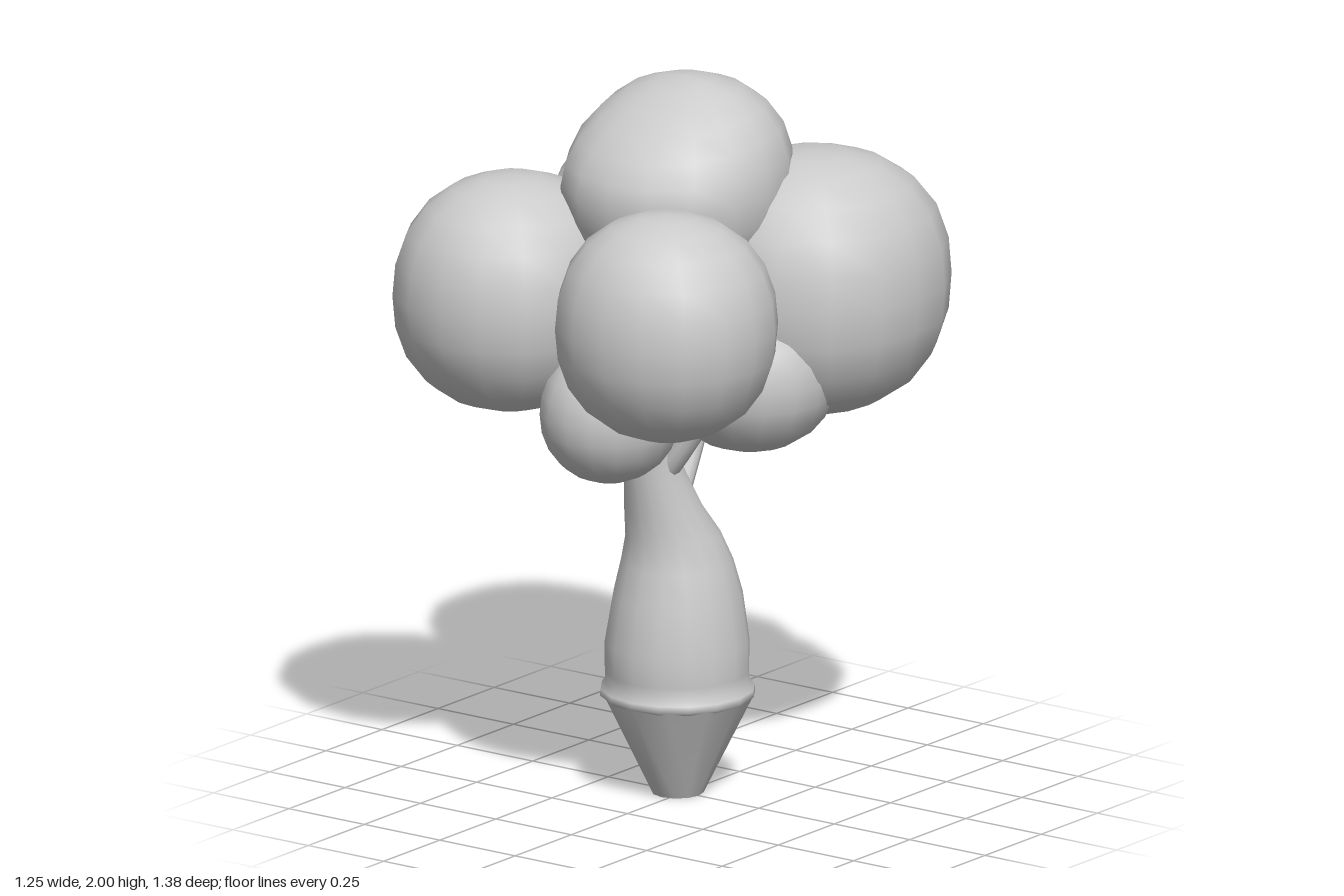
import * as THREE from 'three';
import { mergeVertices, toCreasedNormals } from 'three/addons/utils/BufferGeometryUtils.js';

const material = new THREE.MeshStandardMaterial({ color: 0xcccccc });

function addMesh(parent, name, geometry) {
  const mesh = new THREE.Mesh(geometry, material);
  mesh.name = name;
  parent.add(mesh);
  return mesh;
}

// Weld seams and rebuild smooth normals
function smooth(geometry) {
  geometry.deleteAttribute('uv');
  geometry.deleteAttribute('normal');
  const welded = mergeVertices(geometry, 1e-4);
  welded.computeVertexNormals();
  return welded;
}

// Low-poly foliage clump: a slightly squared ball (power 2 is round).
// slope lowers the upper front, lean shifts the upper part back.
function clumpGeometry(radii, power, slope, lean) {
  const geometry = new THREE.SphereGeometry(1, 16, 12);
  const p = geometry.attributes.position;
  const v = new THREE.Vector3();
  for (let i = 0; i < p.count; i++) {
    v.fromBufferAttribute(p, i);
    const sum = Math.abs(v.x) ** power + Math.abs(v.y) ** power + Math.abs(v.z) ** power;
    v.multiplyScalar(sum ** (-1 / power));
    if (v.y > 0) {
      v.y *= 1 - slope * Math.max(0, v.z);
      v.z -= lean * v.y;
    }
    v.multiply(radii);
    p.setXYZ(i, v.x, v.y, v.z);
  }
  return smooth(geometry);
}

export function createModel() {
  const tree = new THREE.Group();
  tree.name = 'tree';

  // Tapered base with a flat underside
  const base = new THREE.LatheGeometry(
    [[0, 0], [0.07, 0], [0.205, 0.275], [0, 0.275]].map(([r, y]) => new THREE.Vector2(r, y)), 12);
  addMesh(tree, 'base', toCreasedNormals(base, 0.6)).position.x = -0.02;

  // Bulging trunk with a soft rim at its foot: rings of [height, radius, centre x, centre z]
  const rings = [
    [0.265, 0.196, -0.02, 0], [0.275, 0.209, -0.02, 0], [0.292, 0.207, -0.02, 0], [0.308, 0.193, -0.02, 0],
    [0.34, 0.194, -0.02, 0.002], [0.42, 0.195, -0.02, 0.003],
    [0.55, 0.175, -0.018, 0.002], [0.64, 0.152, -0.02, 0.003], [0.72, 0.128, -0.024, 0.015],
    [0.8, 0.105, -0.03, 0.05], [0.9, 0.083, -0.034, 0.082], [1, 0.064, -0.035, 0.118], [1.2, 0.045, -0.03, 0.17],
  ];
  const trunk = new THREE.LatheGeometry(rings.map(([y, r]) => new THREE.Vector2(r, y)), 16);
  const p = trunk.attributes.position;
  for (let i = 0; i < p.count; i++) {
    const [, , x, z] = rings[i % rings.length];
    p.setXYZ(i, p.getX(i) + x, p.getY(i), p.getZ(i) + z);
  }
  addMesh(tree, 'trunk', smooth(trunk));

  // Branches reaching into the lower clumps
  const branches = {
    backBranch: [[-0.02, 0.81, 0.0], [-0.03, 0.93, -0.075], [-0.05, 1.2, -0.23]],
    leftBranch: [[0.0, 0.9, 0.09], [0.06, 0.98, 0.09], [0.2, 1.2, 0.07]],
  };
  for (const [name, points] of Object.entries(branches)) {
    const curve = new THREE.CatmullRomCurve3(points.map((q) => new THREE.Vector3(...q)));
    addMesh(tree, name, new THREE.TubeGeometry(curve, 8, 0.03, 10));
    const root = addMesh(tree, name + 'Root', new THREE.SphereGeometry(0.03, 10, 8));
    root.position.set(...points[0]);
  }

  // Foliage clumps: [name, centre, radii, power, slope, lean]
  const clumps = [
    ['topClump', [0.03, 1.715, 0.07], [0.3, 0.285, 0.308], 2.2, 0.28, 0.12],
    ['frontRightClump', [-0.33, 1.41, 0.32], [0.3, 0.32, 0.323], 2.25, 0, 0],
    ['frontLeftClump', [0.245, 1.43, 0.405], [0.295, 0.31, 0.285], 2.2, 0, 0],
    ['backRightClump', [-0.315, 1.43, -0.3], [0.28, 0.31, 0.3], 2.25, 0, 0],
    ['backLeftClump', [0.28, 1.425, -0.205], [0.345, 0.355, 0.36], 2.35, 0, 0],
    ['backClump', [0.095, 1.4, -0.46], [0.22, 0.205, 0.235], 2.25, 0, 0],
    ['lowFrontClump', [0.01, 1.14, 0.335], [0.18, 0.195, 0.203], 2.1, 0, 0],
    ['lowLeftClump', [0.25, 1.22, 0.045], [0.235, 0.21, 0.225], 2.2, 0, 0],
    ['lowBackClump', [-0.05, 1.22, -0.275], [0.19, 0.19, 0.19], 2.1, 0, 0],
    ['lowRightClump', [-0.255, 1.21, 0.03], [0.2, 0.19, 0.2], 2.1, 0, 0],
  ];
  for (const [name, centre, radii, power, slope, lean] of clumps) {
    const mesh = addMesh(tree, name, clumpGeometry(new THREE.Vector3(...radii), power, slope, lean));
    mesh.position.set(...centre);
  }

  return tree;
}
